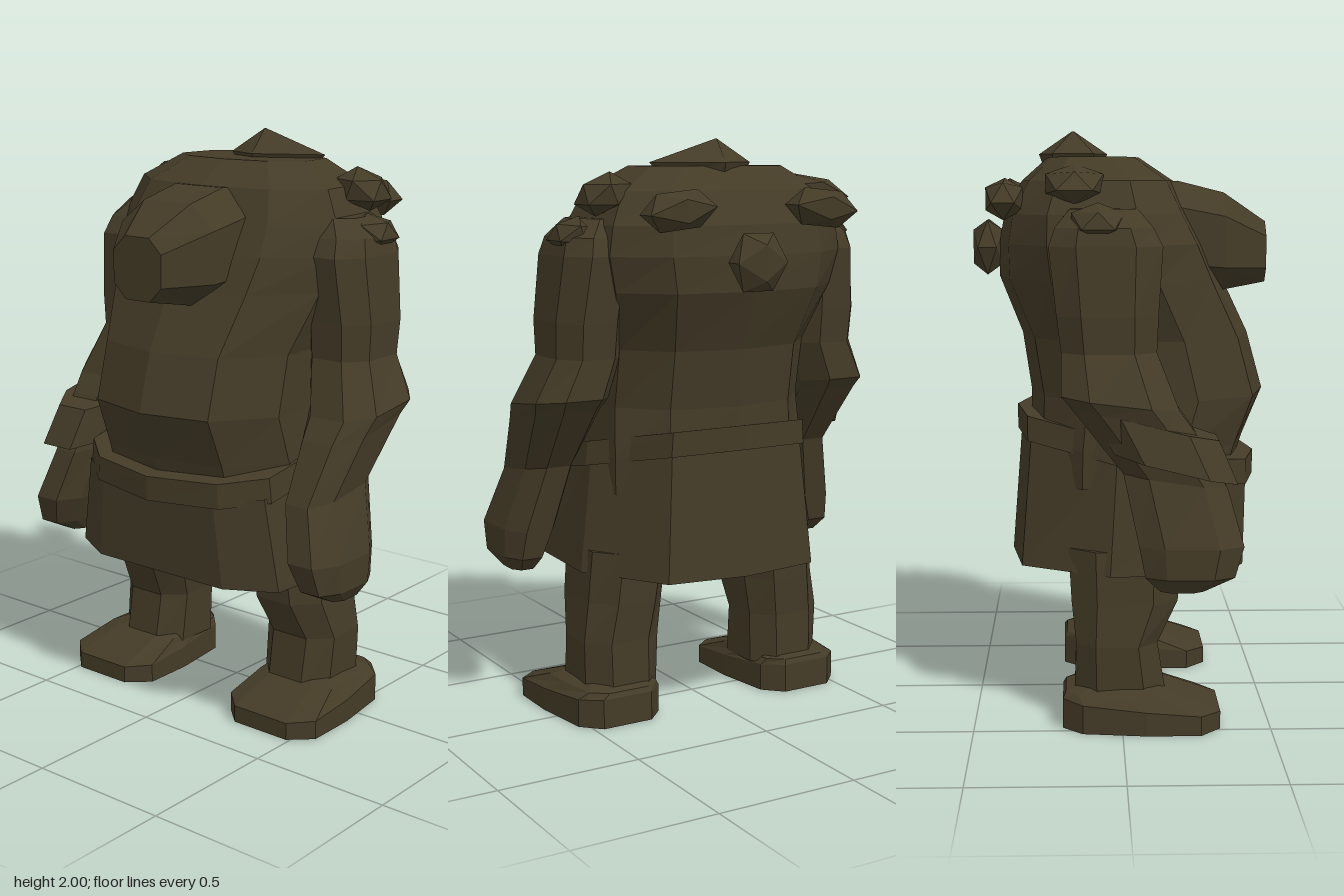
import * as THREE from 'three';

const hide = new THREE.MeshStandardMaterial({ color: 0x443b27 });
hide.name = 'darkOlive';
hide.flatShading = true;
hide.side = THREE.DoubleSide;

// Half outlines as [x, z] from front to back, in units of half width and half depth
const BODY = [[0, 1], [0.64, 0.86], [1, 0.38], [0.95, -0.52], [0.61, -0.88], [0, -1]];
const BELT = [[0, 1], [0.64, 0.88], [0.96, 0.62], [1, -0.15], [0.62, -0.9], [0, -1]];
const CLOTH = [[0, 1], [0.6, 1], [0.96, 0.77], [1, -0.15], [0.62, -0.9], [0, -1]];
const LIMB = [[0.5, 1], [1, 0.52], [1, -0.52], [0.5, -1]];
const SOLE = [[0.6, 1], [1, 0.74], [1, 0.05], [0.85, -0.75], [0.5, -1]];
const SHARD = [[0, 1], [1, -0.22], [0.6, -0.9]];

// Closes a half outline by mirroring it
const mirrorOutline = (half) =>
  half.concat(half.filter((p) => p[0] > 0).reverse().map(([x, z]) => [-x, z]));

// Ring: y, centre x, half width, front z, back z, rise towards the back
function ring(outline, [y, cx, w, f, b, tilt = 0]) {
  return outline.map(([u, v]) => {
    const z = (f + b) / 2 + (v * (f - b)) / 2;
    return [cx + u * w, y + tilt * (f - z), z];
  });
}

// Joins rings from bottom to top into a faceted surface
function loft(half, rows, capped = true) {
  const rings = rows.map((r) => ring(mirrorOutline(half), r));
  const n = rings[0].length;
  const pos = [];
  const tri = (a, b, c) => pos.push(...a, ...b, ...c);
  for (let k = 0; k < rings.length - 1; k++) {
    const [a, b] = [rings[k], rings[k + 1]];
    for (let i = 0; i < n; i++) {
      const j = (i + 1) % n;
      tri(a[i], a[j], b[j]);
      tri(a[i], b[j], b[i]);
    }
  }
  if (capped) {
    const [a, b] = [rings[0], rings[rings.length - 1]];
    for (let i = 1; i < n - 1; i++) {
      tri(a[0], a[i + 1], a[i]);
      tri(b[0], b[i], b[i + 1]);
    }
  }
  const g = new THREE.BufferGeometry();
  g.setAttribute('position', new THREE.Float32BufferAttribute(pos, 3));
  g.computeVertexNormals();
  return g;
}

export function createModel() {
  const model = new THREE.Group();
  model.name = 'stoutCreature';
  const add = (name, geometry) => {
    const m = new THREE.Mesh(geometry, hide);
    m.name = name;
    model.add(m);
    return m;
  };

  // Hunched barrel torso
  add('torso', loft(BODY, [
    [0.8, 0, 0.4, 0.4, -0.3],
    [0.93, 0, 0.4, 0.44, -0.31],
    [1.1, 0, 0.39, 0.51, -0.31],
    [1.3, 0, 0.39, 0.455, -0.34],
    [1.5, 0, 0.45, 0.36, -0.42],
    [1.62, 0, 0.48, 0.305, -0.42],
    [1.72, 0, 0.465, 0.25, -0.4],
    [1.83, 0, 0.41, 0.19, -0.34],
    [1.91, 0, 0.27, 0.07, -0.25],
  ]));

  // Pelvis, open skirt and belt that rises to the back
  add('pelvis', loft(BODY, [
    [0.51, 0, 0.2, 0.25, -0.12],
    [0.62, 0, 0.36, 0.32, -0.25],
    [0.82, 0, 0.38, 0.36, -0.28],
  ]));
  add('skirt', loft(CLOTH, [
    [0.52, 0, 0.47, 0.42, -0.38],
    [0.82, 0, 0.415, 0.43, -0.345, 0.2],
  ], false));
  add('belt', loft(BELT, [
    [0.79, 0, 0.43, 0.48, -0.36, 0.2],
    [0.875, 0, 0.42, 0.48, -0.36, 0.2],
  ]));

  // Blunt muzzle, lofted upwards and then turned to face forward
  const muzzle = loft(LIMB, [
    [0.02, 0, 0.21, -1.47, -1.82],
    [0.2, 0, 0.21, -1.46, -1.83],
    [0.36, 0, 0.205, -1.455, -1.79],
    [0.51, 0, 0.105, -1.48, -1.69],
  ]);
  add('muzzle', muzzle.rotateX(Math.PI / 2));

  for (const [side, s] of [['left', 1], ['right', -1]]) {
    // Long arm ending in a blunt fist
    add(side + 'Arm', loft(LIMB, [
      [0.51, s * 0.6, 0.045, 0.26, 0.12],
      [0.56, s * 0.603, 0.075, 0.36, 0.07],
      [0.66, s * 0.583, 0.097, 0.39, 0.05],
      [0.84, s * 0.53, 0.09, 0.34, 0.0, 0.15],
      [1.03, s * 0.53, 0.12, 0.23, -0.17, 0.2],
      [1.1, s * 0.53, 0.135, 0.18, -0.2, 0.12],
      [1.28, s * 0.475, 0.12, 0.11, -0.2],
      [1.4, s * 0.475, 0.125, 0.115, -0.215],
      [1.62, s * 0.455, 0.12, 0.13, -0.24],
      [1.68, s * 0.44, 0.12, 0.1, -0.22],
      [1.74, s * 0.4, 0.1, 0.05, -0.17],
    ]));

    // Slightly bent leg
    add(side + 'Leg', loft(LIMB, [
      [0.1, s * 0.34, 0.14, 0.15, -0.16],
      [0.28, s * 0.34, 0.145, 0.12, -0.155],
      [0.42, s * 0.32, 0.145, 0.19, -0.17],
      [0.6, s * 0.3, 0.15, 0.2, -0.18],
    ]));

    // Broad-toed wedge foot
    add(side + 'Foot', loft(SOLE, [
      [0, s * 0.375, 0.187, 0.33, -0.2],
      [0.06, s * 0.375, 0.187, 0.33, -0.2, 0.08],
      [0.12, s * 0.365, 0.155, 0.16, -0.19],
      [0.14, s * 0.35, 0.12, 0.1, -0.12],
    ]));
  }

  // Cuff on one forearm
  add('cuff', loft(LIMB, [
    [0.86, -0.545, 0.135, 0.37, -0.03, 0.25],
    [1.0, -0.52, 0.132, 0.31, -0.11, 0.25],
  ]));

  // Rocky growths: centre, half sizes, roll
  const rocks = [
    [-0.38, 1.82, -0.155, 0.15, 0.055, 0.1, 0.15],
    [0.43, 1.82, -0.15, 0.09, 0.06, 0.09, -0.4],
    [-0.5, 1.7, -0.08, 0.085, 0.05, 0.09, 0.3],
    [0.515, 1.69, -0.09, 0.075, 0.05, 0.09, -0.3],
    [-0.28, 1.77, -0.39, 0.13, 0.065, 0.065, 0.1],
    [0.28, 1.77, -0.39, 0.13, 0.065, 0.065, -0.1],
    [0.02, 1.6, -0.46, 0.1, 0.1, 0.055, 0],
  ];
  for (const [x, y, z, a, b, c, roll] of rocks) {
    const rock = new THREE.IcosahedronGeometry(1, 0).scale(a * 1.12, b * 1.12, c * 1.12);
    add('rock', rock.rotateZ(roll)).position.set(x, y, z);
  }

  // Crown rock with an off-centre peak, pointing sideways
  const crown = loft(SHARD, [
    [1.87, 0.16, 0.1, 0.2, -0.08],
    [1.922, 0.16, 0.12, 0.26, -0.11],
    [2.0, 0.16, 0.004, 0.004, -0.004],
  ]);
  add('crownRock', crown.rotateY(Math.PI / 2));
  return model;
}
